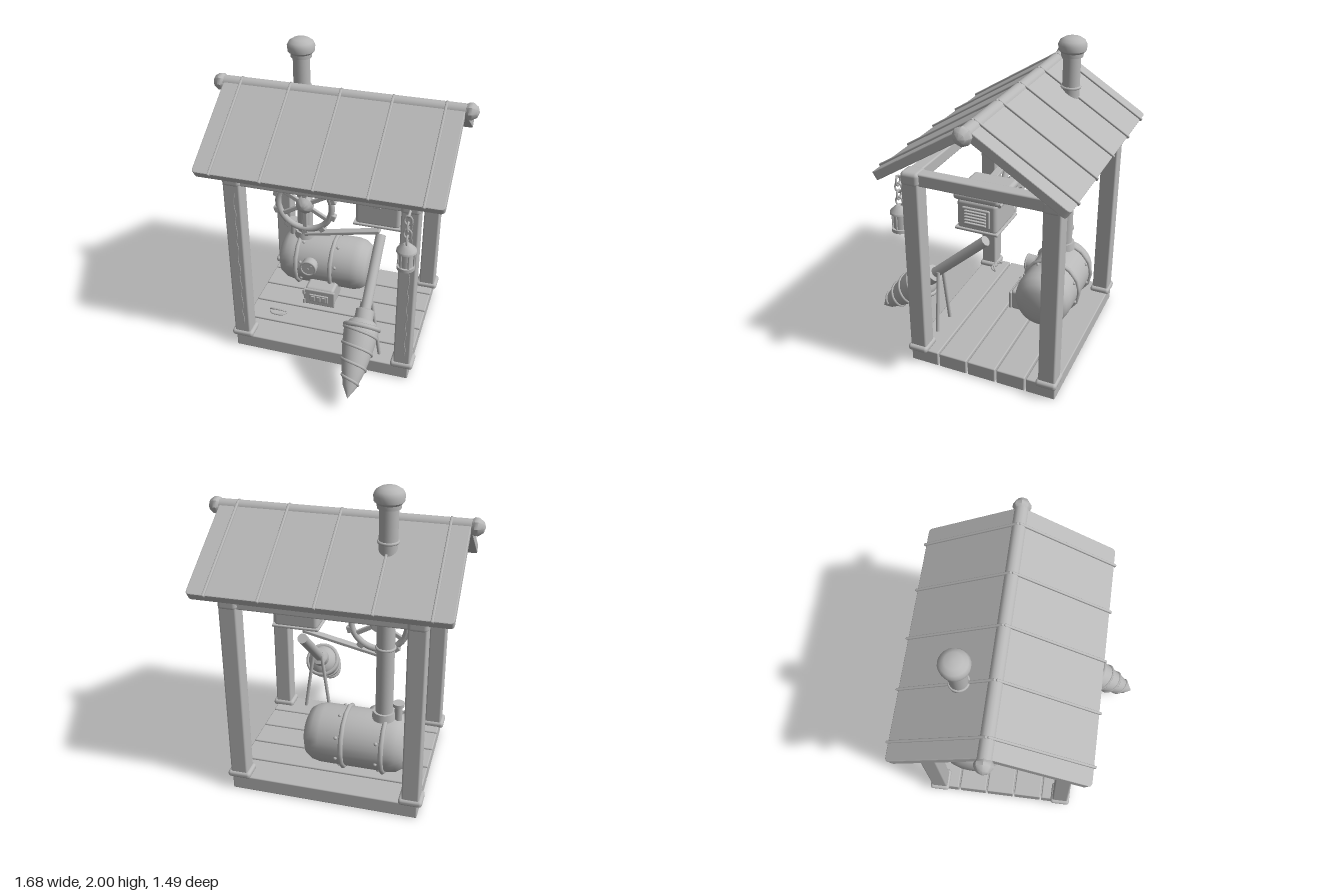
import * as THREE from 'three';
import { toCreasedNormals } from 'three/addons/utils/BufferGeometryUtils.js';
import { RoundedBoxGeometry } from 'three/addons/geometries/RoundedBoxGeometry.js';

const grey = new THREE.MeshStandardMaterial({ color: 0xb8b8b8, side: THREE.DoubleSide });
grey.name = 'plainGrey';
const V = (x, y, z) => new THREE.Vector3(x, y, z);

export function createModel() {
  const root = new THREE.Group();
  root.name = 'drillShed';

  const add = (name, geo, x = 0, y = 0, z = 0, parent = root) => {
    const m = new THREE.Mesh(geo, grey);
    m.name = name;
    m.position.set(x, y, z);
    parent.add(m);
    return m;
  };
  const group = (name, x = 0, y = 0, z = 0, parent = root) => {
    const g = new THREE.Group();
    g.name = name;
    g.position.set(x, y, z);
    parent.add(g);
    return g;
  };
  const box = (w, h, d, r = 0.01) => new RoundedBoxGeometry(w, h, d, 2, r);
  const lathe = (pts, n = 24) => toCreasedNormals(
    new THREE.LatheGeometry(pts.map(p => new THREE.Vector2(p[0], p[1])), n), 0.7);
  const cyl = (r, h, n = 20, r2 = r) => new THREE.CylinderGeometry(r, r2, h, n);
  const rod = (name, a, b, r, parent = root, n = 10) => {
    const m = add(name, cyl(r, a.distanceTo(b), n), 0, 0, 0, parent);
    m.position.copy(a).add(b).multiplyScalar(0.5);
    m.quaternion.setFromUnitVectors(V(0, 1, 0), b.clone().sub(a).normalize());
    return m;
  };

  // Plank floor
  for (let i = 0; i < 5; i++) add('floorPlank', box(1.2, 0.1, 0.19, 0.008), 0, 0.05, 0.255 - i * 0.2);

  // Corner posts with feet, heads and front cracks
  for (const x of [-0.555, 0.555]) {
    for (const z of [0.295, -0.585]) {
      add('post', box(0.11, 1.24, 0.11, 0.012), x, 0.73, z);
      add('postFoot', box(0.15, 0.045, 0.135, 0.02), x, 0.11, z);
      add('postHead', box(0.12, 0.09, 0.12, 0.025), x, 1.32, z);
    }
    const crack = [];
    for (let i = 0; i <= 20; i++) crack.push(V(x + 0.015 + 0.006 * Math.sin(i * 2.3), 0.2 + i * 0.052, 0.35));
    add('postCrack', new THREE.TubeGeometry(new THREE.CatmullRomCurve3(crack), 60, 0.0035, 4));
    add('sideBeam', box(0.08, 0.08, 0.94, 0.01), x, 1.32, -0.145);
  }
  for (const z of [0.295, -0.585]) add('crossBeam', box(1.1, 0.08, 0.08, 0.01), 0, 1.32, z);

  // Gable roof: two slopes with standing seams
  const corner = 0.03, w = 0.76, len = 0.7;
  const s = new THREE.Shape();
  s.moveTo(-w, 0).lineTo(w, 0).lineTo(w, len - corner).quadraticCurveTo(w, len, w - corner, len);
  s.lineTo(corner - w, len).quadraticCurveTo(-w, len, -w, len - corner).lineTo(-w, 0);
  for (const side of [1, -1]) {
    const slope = group('roofSlope', 0, 1.775, -0.145);
    slope.rotation.set(0.56, side > 0 ? 0 : Math.PI, 0, 'YXZ');
    const slab = new THREE.ExtrudeGeometry(s, {
      depth: 0.045, bevelEnabled: true, bevelSize: 0.005, bevelThickness: 0.005, bevelOffset: -0.005, bevelSegments: 2
    });
    slab.rotateX(Math.PI / 2);
    add('roofPanel', slab, 0, -0.005, 0, slope);
    for (const x of [-0.645, -0.325, 0, 0.325, 0.645]) {
      add('roofSeam', box(0.016, 0.022, 0.71, 0.006), x, 0.002, 0.355, slope);
    }
  }
  rod('ridgePole', V(-0.79, 1.735, -0.145), V(0.79, 1.735, -0.145), 0.044, root, 16);
  for (const side of [1, -1]) {
    const knob = lathe([[0, -0.05], [0.035, -0.045], [0.056, -0.015], [0.056, 0.005], [0.035, 0.035], [0, 0.048]], 8);
    add('ridgeKnob', knob, side * 0.793, 1.735, -0.145).rotation.z = -side * Math.PI / 2;
  }

  // Boiler tank lying along x
  const cy = 0.335, cz = -0.355;
  const tank = lathe([[0, -0.5], [0.1, -0.495], [0.15, -0.475], [0.18, -0.43], [0.19, -0.38],
    [0.19, 0.06], [0.18, 0.11], [0.15, 0.155], [0.1, 0.175], [0, 0.18]], 32);
  add('boilerTank', tank, 0, cy, cz).rotation.z = -Math.PI / 2;
  for (const x of [-0.345, -0.09]) {
    add('boilerBand', new THREE.TorusGeometry(0.195, 0.016, 8, 14), x, cy, cz).rotation.y = Math.PI / 2;
    for (let i = 0; i < 8; i++) {
      const a = (i + 0.4) * Math.PI / 4;
      add('boilerRivet', new THREE.SphereGeometry(0.012, 8, 6),
        x + 0.035, cy + 0.19 * Math.sin(a), cz + 0.19 * Math.cos(a));
    }
  }
  // Pressure gauge on the tank front
  const gauge = group('pressureGauge', -0.235, 0.385, -0.155);
  add('gaugeCase', cyl(0.058, 0.06), 0, 0, 0, gauge).rotation.x = Math.PI / 2;
  add('gaugeRim', new THREE.TorusGeometry(0.054, 0.008, 8, 24), 0, 0, 0.028, gauge);
  add('gaugeNeedle', box(0.007, 0.045, 0.006, 0.002), 0.01, 0.012, 0.032, gauge).rotation.z = -0.7;
  add('gaugePin', cyl(0.009, 0.02), 0, 0, 0.03, gauge).rotation.x = Math.PI / 2;
  // Firebox with grated door
  add('firebox', box(0.21, 0.15, 0.2, 0.02), -0.14, 0.18, -0.18);
  add('fireboxDoor', box(0.23, 0.13, 0.02, 0.008), -0.14, 0.18, -0.08);
  add('grateFrame', box(0.14, 0.06, 0.015, 0.006), -0.14, 0.18, -0.068);
  for (let i = -1; i <= 1; i++) add('grateBar', box(0.03, 0.04, 0.012, 0.004), -0.14 + i * 0.04, 0.18, -0.06);
  for (const y of [0.14, 0.22]) add('doorHinge', cyl(0.01, 0.035, 10), -0.25, y, -0.07);
  // Relief valve
  add('valvePipe', cyl(0.024, 0.13), -0.415, 0.55, cz);
  add('valveCap', cyl(0.037, 0.022), -0.415, 0.622, cz);

  // Chimney
  add('chimneyPipe', cyl(0.055, 1.4, 24), -0.325, 1.2, cz);
  add('chimneyFoot', cyl(0.07, 0.05, 20, 0.078), -0.325, 0.54, cz);
  for (const y of [1.01, 1.68]) add('chimneyRing', new THREE.TorusGeometry(0.056, 0.009, 8, 24), -0.325, y, cz).rotation.x = Math.PI / 2;
  add('chimneyCap', lathe([[0, 1.875], [0.068, 1.875], [0.07, 1.9], [0.086, 1.915], [0.09, 1.95],
    [0.078, 1.975], [0.05, 1.993], [0, 2]]), -0.325, 0, cz);

  // Cogged drive wheel with spokes
  const wheel = group('driveWheel', -0.21, 0.99, -0.02);
  add('wheelRim', new THREE.TorusGeometry(0.185, 0.021, 10, 40), 0, 0, 0, wheel);
  for (let i = 0; i < 10; i++) {
    const a = (i + 0.5) * Math.PI / 5;
    add('wheelCog', box(0.035, 0.045, 0.04, 0.007), 0.204 * Math.cos(a), 0.204 * Math.sin(a), 0, wheel).rotation.z = a;
  }
  for (let i = 0; i < 6; i++) {
    const a = Math.PI / 2 + i * Math.PI / 3;
    const spoke = add('wheelSpoke', box(0.15, 0.03, 0.022, 0.006), 0.105 * Math.cos(a), 0.105 * Math.sin(a), 0, wheel);
    spoke.rotation.z = a;
  }
  add('wheelHub', lathe([[0, -0.035], [0.045, -0.035], [0.058, -0.015], [0.058, 0.015], [0.04, 0.035], [0.02, 0.05], [0, 0.052]]),
    0, 0, 0, wheel).rotation.x = Math.PI / 2;
  // Belts to the motor and the drill shaft
  const belt = (x1, y1, x2, y2) => {
    const b = add('driveBelt', box(Math.hypot(x2 - x1, y2 - y1), 0.022, 0.05, 0.005), (x1 + x2) / 2, (y1 + y2) / 2, -0.02);
    b.rotation.z = Math.atan2(y2 - y1, x2 - x1);
  };
  belt(-0.21, 1.212, 0.18, 1.175);
  belt(-0.21, 0.768, 0.3, 0.88);

  // Motor box with lid, latch and side vent
  const motor = group('motor', 0.3, 0, -0.055);
  add('motorBody', box(0.29, 0.2, 0.26, 0.025), 0, 1.07, 0, motor);
  add('motorBase', box(0.31, 0.018, 0.28, 0.007), 0, 0.975, 0, motor);
  add('motorLid', box(0.32, 0.052, 0.3, 0.024), 0, 1.192, 0, motor);
  add('lidLatch', box(0.05, 0.065, 0.025, 0.006), 0, 1.15, 0.14, motor);
  add('ventPlate', box(0.02, 0.12, 0.18, 0.008), 0.148, 1.07, 0, motor);
  for (let i = 0; i < 5; i++) add('ventSlat', box(0.02, 0.012, 0.14, 0.004), 0.162, 1.03 + i * 0.02, 0, motor);
  rod('lidHinge', V(-0.13, 1.165, -0.142), V(0.13, 1.165, -0.142), 0.012, motor);

  // Slanted drill, built along +y from its tip
  const drill = group('drill', 0.3, 0.12, 0.74);
  drill.quaternion.setFromUnitVectors(V(0, 1, 0), V(0, 0.71, -0.79).normalize());
  const profile = [[0, 0], [0.045, 0.075], [0.075, 0.18], [0.098, 0.3], [0.11, 0.4], [0.11, 0.45], [0.085, 0.485], [0.06, 0.5], [0.06, 0.56], [0.035, 0.57]];
  add('drillCone', lathe(profile), 0, 0, 0, drill);
  add('drillShaft', cyl(0.034, 0.54), 0, 0.79, 0, drill);
  const helix = [];
  for (let i = 0; i <= 72; i++) {
    const t = 0.09 + 0.35 * i / 72, a = i / 72 * Math.PI * 7;
    const r = t < 0.18 ? 0.045 + (t - 0.075) * 0.286 : t < 0.3 ? 0.075 + (t - 0.18) * 0.19 : 0.098 + (t - 0.3) * 0.11;
    helix.push(V(r * Math.cos(a), t, r * Math.sin(a)));
  }
  add('drillThread', new THREE.TubeGeometry(new THREE.CatmullRomCurve3(helix), 160, 0.01, 6), 0, 0, 0, drill);
  add('drillCollar', new THREE.TorusGeometry(0.108, 0.016, 8, 24), 0, 0.45, 0, drill).rotation.x = Math.PI / 2;
  // Drill stand
  for (const side of [1, -1]) {
    rod('standLeg', V(0.3 + side * 0.09, 0.1, 0.27), V(0.3 + side * 0.03, 0.53, 0.28), 0.012);
  }

  // Hanging lantern with chain
  const lantern = group('lantern', 0.555, 0, 0.4);
  add('lanternBody', cyl(0.043, 0.13, 16), 0, 1.015, 0, lantern);
  add('lanternBase', cyl(0.056, 0.022, 16), 0, 0.95, 0, lantern);
  add('lanternRoof', lathe([[0, 1.06], [0.062, 1.06], [0.06, 1.073], [0.032, 1.1], [0.02, 1.112], [0, 1.114]], 16), 0, 0, 0, lantern);
  for (let i = 0; i < 6; i++) {
    const a = i * Math.PI / 3;
    add('lanternBar', cyl(0.006, 0.12, 6), 0.047 * Math.cos(a), 1.01, 0.047 * Math.sin(a), lantern);
  }
  for (let i = 0; i < 4; i++) {
    const link = add('chainLink', new THREE.TorusGeometry(0.023, 0.006, 6, 16), 0, 1.135 + i * 0.046, 0, lantern);
    link.scale.y = 1.3;
    link.rotation.y = i % 2 ? 0 : Math.PI / 2;
  }
  rod('lanternHook', V(0, 1.3, 0.01), V(0, 1.31, -0.06), 0.008, lantern);

  // Loose carrying handle above the floor
  const grip = new THREE.CatmullRomCurve3([V(-0.42, 0.2, 0.155), V(-0.4, 0.22, 0.17), V(-0.32, 0.22, 0.17),
    V(-0.3, 0.2, 0.155), V(-0.32, 0.2, 0.19), V(-0.4, 0.2, 0.19)], true);
  add('carryHandle', new THREE.TubeGeometry(grip, 40, 0.006, 6, true));

  return root;
}
